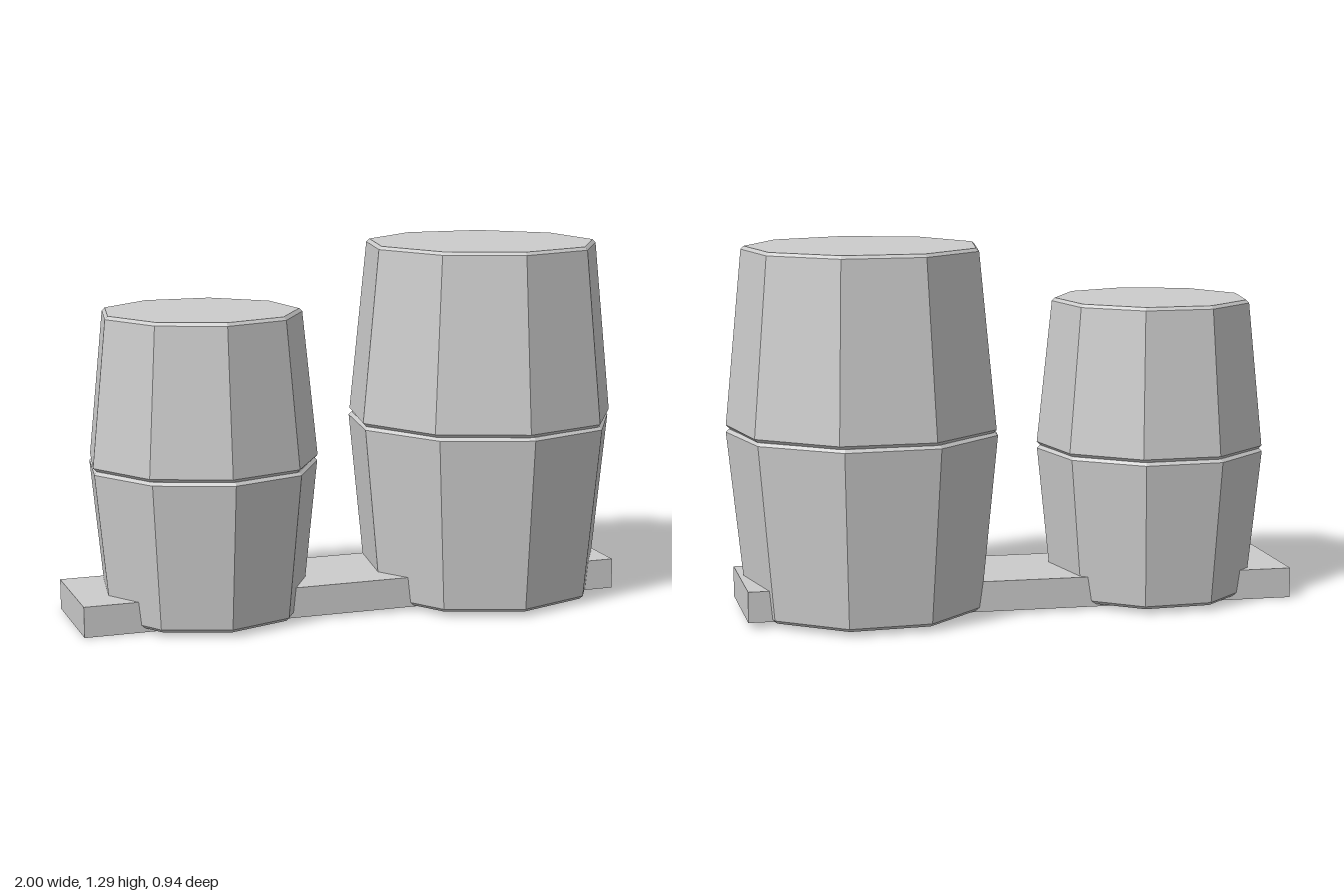
import * as THREE from 'three';

const material = new THREE.MeshStandardMaterial({ color: 0xcccccc, flatShading: true });
const BEVEL = 0.011;

// Closed nine-sided tapered block with small bevels at both ends
function barrelHalf(name, r0, y0, r1, y1, turn) {
  const profile = [
    [0, y0], [r0 - BEVEL, y0], [r0, y0 + BEVEL],
    [r1, y1 - BEVEL], [r1 - BEVEL, y1], [0, y1],
  ].map(([r, y]) => new THREE.Vector2(r, y));
  const mesh = new THREE.Mesh(new THREE.LatheGeometry(profile, 9), material);
  mesh.name = name;
  mesh.rotation.y = turn;
  return mesh;
}

// Two halves meeting at the widest ring, the lower one turned slightly
function barrel(name, { x, endRadius, midRadius, bottom, seam, top, turn }) {
  const group = new THREE.Group();
  group.name = name;
  group.add(
    barrelHalf('lowerHalf', endRadius, bottom, midRadius, seam, turn),
    barrelHalf('upperHalf', midRadius, seam, endRadius, top, -0.005),
  );
  group.position.set(x, 0, -0.01);
  return group;
}

export function createModel() {
  const model = new THREE.Group();
  model.name = 'barrelsOnPlank';

  model.add(
    barrel('smallBarrel', {
      x: -0.528, endRadius: 0.357, midRadius: 0.41,
      bottom: 0.017, seam: 0.55, top: 1.083, turn: 0.02,
    }),
    barrel('largeBarrel', {
      x: 0.52, endRadius: 0.422, midRadius: 0.484,
      bottom: 0.017, seam: 0.653, top: 1.29, turn: 0.03,
    }),
  );

  // Plank running through both barrels, a little askew
  const plank = new THREE.Mesh(new THREE.BoxGeometry(1.965, 0.108, 0.41), material);
  plank.name = 'plank';
  plank.position.set(-0.017, 0.0645, -0.012);
  plank.rotation.set(0, -0.0075, 0.0105);
  model.add(plank);

  return model;
}
